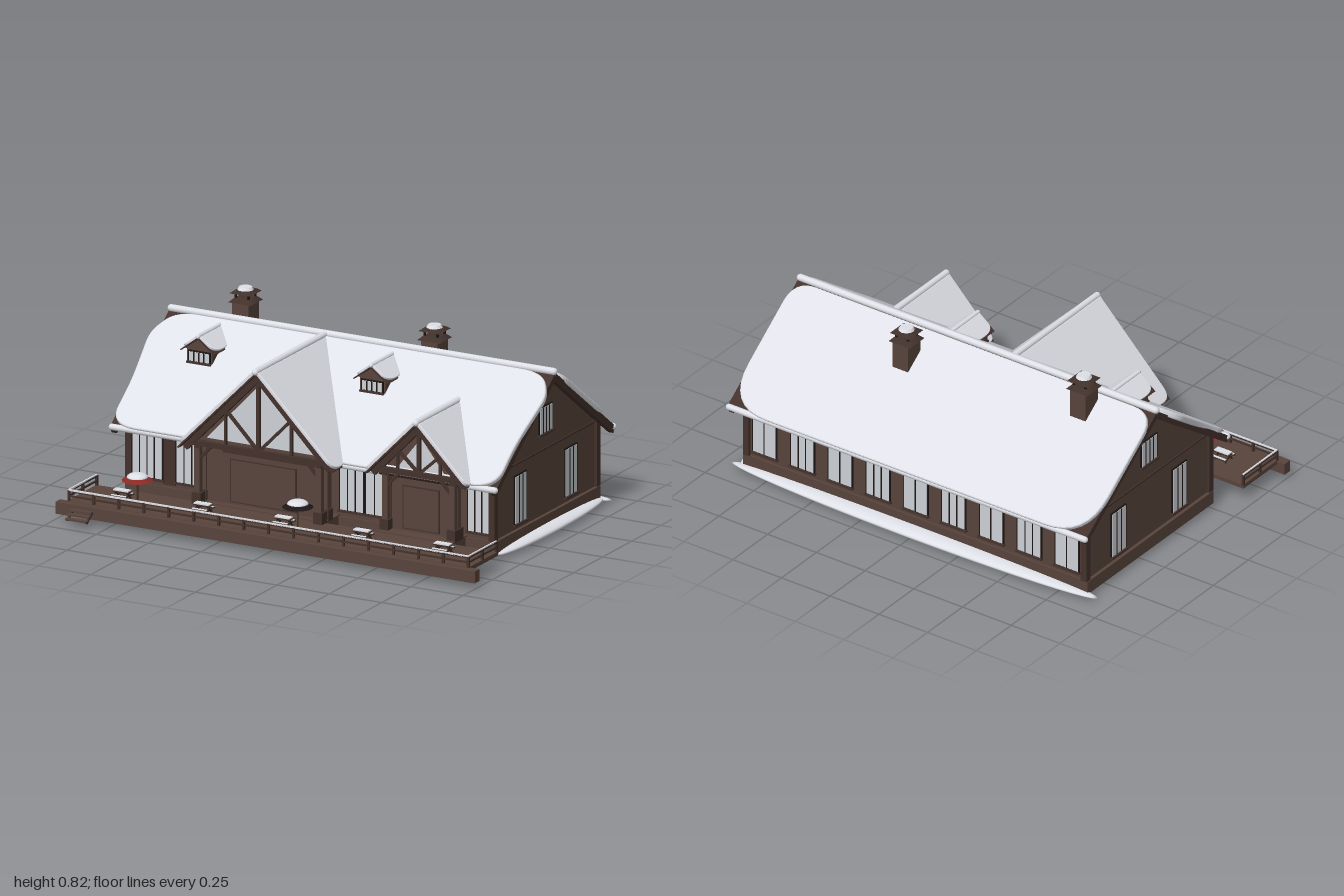
import * as THREE from 'three';

const mat = (name, color) => {
  const m = new THREE.MeshStandardMaterial({ color });
  m.name = name;
  return m;
};

export function createModel() {
  const wood = mat('brown timber', 0x58443c);
  const trim = mat('dark timber', 0x43322c);
  const dark = mat('dark frame', 0x1e1715);
  const snow = mat('snow', 0xe3e5ec);
  const glass = mat('pale glass', 0xcdd1d6);
  const red = mat('red canopy', 0x8c2a25);
  const root = new THREE.Group();
  root.name = 'chalet';

  const add = (name, geo, m, x = 0, y = 0, z = 0, parent = root) => {
    const mesh = new THREE.Mesh(geo, m);
    mesh.name = name;
    mesh.position.set(x, y, z);
    parent.add(mesh);
    return mesh;
  };
  const group = (name, x, y, z, ry = 0) => {
    const g = new THREE.Group();
    g.name = name;
    g.position.set(x, y, z);
    g.rotation.y = ry;
    root.add(g);
    return g;
  };
  const box = (name, w, h, d, m, x, y, z, parent) => add(name, new THREE.BoxGeometry(w, h, d), m, x, y, z, parent);
  // box given by its limits
  const span = (name, x0, x1, y0, y1, z0, z1, m, parent) =>
    box(name, x1 - x0, y1 - y0, z1 - z0, m, (x0 + x1) / 2, (y0 + y1) / 2, (z0 + z1) / 2, parent);
  const align = (mesh, a, b) => {
    mesh.position.copy(a).add(b).multiplyScalar(0.5);
    mesh.quaternion.setFromUnitVectors(new THREE.Vector3(0, 1, 0), b.clone().sub(a).normalize());
  };
  const V = (x, y, z) => new THREE.Vector3(x, y, z);
  const bar = (name, a, b, t, m, parent) =>
    align(add(name, new THREE.BoxGeometry(t, a.distanceTo(b), t), m, 0, 0, 0, parent), a, b);
  const roll = (name, a, b, r, m = snow) =>
    align(add(name, new THREE.CapsuleGeometry(r, a.distanceTo(b) - r, 4, 12), m), a, b);
  const poly = pts => new THREE.Shape(pts.map(p => new THREE.Vector2(p[0], p[1])));
  // polygon with corners rounded by the third value of each point
  const rounded = pts => {
    const s = new THREE.Shape();
    pts.forEach(([x, y, r = 0], i) => {
      const c = new THREE.Vector2(x, y);
      const toward = q => {
        const o = new THREE.Vector2(q[0], q[1]).sub(c);
        return c.clone().add(o.setLength(Math.min(r, o.length() * 0.45)));
      };
      const a = toward(pts[(i + pts.length - 1) % pts.length]), b = toward(pts[(i + 1) % pts.length]);
      if (i) s.lineTo(a.x, a.y); else s.moveTo(a.x, a.y);
      s.quadraticCurveTo(x, y, b.x, b.y);
    });
    s.closePath();
    return s;
  };
  // roof panel: shape x runs along the ridge, shape y is 0 at the ridge and negative downhill
  const slope = (name, shape, depth, bevel, m, pos, facing, pitch, lift = 0) => {
    const geo = new THREE.ExtrudeGeometry(shape, { depth, curveSegments: 8, bevelEnabled: bevel > 0,
      bevelSize: bevel, bevelThickness: bevel, bevelSegments: 3 });
    geo.translate(0, 0, lift);
    const mesh = add(name, geo, m, ...pos);
    mesh.rotation.set(pitch - Math.PI / 2, facing, 0, 'YXZ');
  };
  const windowUnit = (name, w, h, panes, x, y, z, ry = 0) => {
    const g = group(name, x, y, z, ry);
    box('frame', w + 0.012, h + 0.012, 0.006, dark, 0, 0, 0.002, g);
    box('glass', w, h, 0.006, glass, 0, 0, 0.004, g);
    for (let i = 1; i < panes; i++) box('mullion', 0.005, h, 0.008, dark, -w / 2 + w * i / panes, 0, 0.005, g);
    box('sill', w + 0.02, 0.008, 0.016, trim, 0, -h / 2 - 0.006, 0.005, g);
  };

  // main body, extruded between the gable ends
  const RZ = -0.19, RY = 0.685, run = 0.51, drop = 0.37;
  const pitch = Math.atan2(drop, run), len = Math.hypot(run, drop);
  const body = add('walls', new THREE.ExtrudeGeometry(
    poly([[-0.25, 0.02], [0.63, 0.02], [0.63, 0.36], [0.19, 0.68], [-0.25, 0.36]]),
    { depth: 1.74, bevelEnabled: false }), wood, -0.87, 0, 0);
  body.rotation.y = Math.PI / 2;
  span('plinth', -0.885, 0.885, 0.02, 0.08, -0.64, 0.26, wood);
  for (const sx of [-1, 1]) {
    for (const z of [-0.63, 0.25]) box('cornerPost', 0.03, 0.29, 0.03, trim, sx * 0.867, 0.225, z);
    box('gableBand', 0.008, 0.008, 0.88, trim, sx * 0.871, 0.365, -0.19);
    for (const z of [0.03, -0.405]) windowUnit('sideWindow', 0.095, 0.205, 3, sx * 0.871, 0.21, z, sx * Math.PI / 2);
    windowUnit('atticWindow', 0.105, 0.11, 4, sx * 0.871, 0.495, -0.187, sx * Math.PI / 2);
    for (const d of [-1, 1]) bar('bargeBoard', V(sx * 0.905, RY - 0.005, RZ),
      V(sx * 0.905, RY - drop - 0.005, RZ + d * run), 0.024, trim);
  }
  for (let i = 0; i < 9; i++) windowUnit('rearWindow', 0.115, 0.21, 2 + (i % 2), -0.775 + i * 0.194, 0.215, -0.631, Math.PI);
  for (const [x0, x1, n] of [[-0.85, -0.71, 4], [-0.64, -0.53, 3], [0.14, 0.25, 3], [0.265, 0.345, 2], [0.75, 0.85, 3]])
    windowUnit('frontWindow', x1 - x0, 0.21, n, (x0 + x1) / 2, 0.215, 0.251);
  box('frontDoor', 0.055, 0.22, 0.008, trim, -0.675, 0.2, 0.253);

  // main roof boards and snow cover
  const board = poly([[-0.92, -len], [0.92, -len], [0.92, 0], [-0.92, 0]]);
  for (const f of [0, Math.PI]) slope('roofBoards', board, 0.014, 0, trim, [0, RY, RZ], f, pitch);
  slope('frontSnow', rounded([[-0.915, -len + 0.01, 0.12], [0.915, -len + 0.01, 0.12], [0.905, -0.4, 0.1],
    [0.935, -0.12, 0.05], [0.87, -0.015, 0.1], [-0.87, -0.015, 0.1], [-0.94, -0.13, 0.05], [-0.91, -0.4, 0.1]]),
    0.012, 0.008, snow, [0, RY, RZ], 0, pitch, 0.014);
  slope('backSnow', rounded([[-0.915, -len + 0.01, 0.2], [0.915, -len + 0.01, 0.2], [0.915, -0.015, 0.1],
    [-0.915, -0.015, 0.1]]), 0.012, 0.008, snow, [0, RY, RZ], Math.PI, pitch, 0.014);
  roll('ridgeSnow', V(-0.92, RY + 0.022, RZ), V(0.92, RY + 0.022, RZ), 0.016);
  for (const [z, x0, x1] of [[-0.7, -0.92, 0.92], [0.32, -0.92, -0.53], [0.32, 0.18, 0.36], [0.32, 0.76, 0.92]])
    roll('eaveSnow', V(x0, 0.327, z), V(x1, 0.327, z), 0.014);

  // cross gable roof running back into the main roof
  const roofZ = y => RZ + (RY - y) * run / drop;
  const crossRoof = (name, x, half, top, low, zf, thick) => {
    const a = Math.atan2(top - low, half), L = Math.hypot(half, top - low);
    const zr = roofZ(top), ze = roofZ(low);
    for (const s of [-1, 1]) {
      const q = (e, r) => [[s * -(zf - e), 0.004 - e], [s * -(zf - e), -L + e, r], [s * -ze, -L + e, r], [s * -zr, 0.004 - e]];
      const f = s * Math.PI / 2;
      slope(name + 'Boards', poly(s > 0 ? q(0) : q(0).reverse()), thick * 0.5, 0, trim, [x, top, 0], f, a);
      const sn = q(0.008, Math.min(0.06, (zf - ze) * 0.5));
      slope(name + 'Snow', rounded(s > 0 ? sn : sn.reverse()), thick * 0.6, thick * 0.3, snow, [x, top, 0], f, a, thick * 0.6);
    }
    roll(name + 'RidgeSnow', V(x, top + thick, zr), V(x, top + thick, zf), thick);
  };

  // front porches: recessed wall, glazed triangle, posts and truss
  const porch = (name, x, half, top, low, zf, zw, gw, gTop) => {
    const k = (top - low) / half, inner = half - 0.075, zt = zf - 0.025;
    crossRoof(name + 'Roof', x, half, top, low, zf, 0.015);
    const g = group(name, x, 0, 0);
    span('porchBase', -inner - 0.02, inner + 0.02, 0.02, 0.085, 0.25, 0.375, wood, g);
    span('porchWall', -inner + 0.02, inner - 0.02, 0.08, 0.35, 0.24, zw, wood, g);
    add('gableWall', new THREE.ExtrudeGeometry(poly([[-half + 0.04, low + 0.015], [half - 0.04, low + 0.015],
      [0, top - 0.02]]), { depth: 0.03, bevelEnabled: false }), wood, 0, 0, zw - 0.03, g);
    add('gableGlass', new THREE.ExtrudeGeometry(poly([[-gw, 0.36], [gw, 0.36], [0, gTop]]),
      { depth: 0.006, bevelEnabled: false }), glass, 0, 0, zw, g);
    box('doorLeaf', inner * 1.1, 0.19, 0.006, trim, 0, 0.19, zw + 0.002, g);
    box('doorPanel', inner * 1.1 - 0.012, 0.18, 0.006, wood, 0, 0.19, zw + 0.004, g);
    span('tieBeam', -half + 0.05, half - 0.05, 0.335, 0.357, zt - 0.02, zt, trim, g);
    bar('kingPost', V(0, 0.345, zt - 0.01), V(0, top - 0.02, zt - 0.01), 0.016, trim, g);
    for (const s of [-1, 1]) {
      const xs = s * half * 0.43, ys = top - 0.02 - k * half * 0.43;
      bar('rafter', V(0, top - 0.018, zt - 0.01), V(s * (half - 0.02), low, zt - 0.01), 0.026, trim, g);
      bar('strut', V(0, 0.35, zt - 0.01), V(xs, ys, zt - 0.01), 0.012, trim, g);
      bar('studPost', V(xs, 0.345, zt - 0.01), V(xs, ys, zt - 0.01), 0.011, trim, g);
      for (const z of [zt - 0.015, zw - 0.015]) {
        box('porchPost', 0.026, 0.26, 0.026, wood, s * inner, 0.21, z, g);
        box('postFoot', 0.042, 0.05, 0.042, trim, s * inner, 0.105, z, g);
      }
      bar('knee', V(s * inner, 0.27, zt - 0.015), V(s * (inner - 0.06), 0.335, zt - 0.015), 0.012, trim, g);
      bar('plate', V(s * inner, 0.335, 0.25), V(s * inner, 0.335, zt), 0.022, trim, g);
    }
    return g;
  };
  const big = porch('largePorch', -0.175, 0.365, 0.69, 0.32, 0.425, 0.345, 0.27, 0.645);
  span('headerBoard', -0.19, 0.27, 0.31, 0.338, 0.345, 0.357, trim, big);
  porch('smallPorch', 0.56, 0.235, 0.565, 0.325, 0.37, 0.315, 0.11, 0.5);

  // dormers
  for (const x of [-0.655, 0.17]) {
    crossRoof('dormerRoof', x, 0.08, 0.675, 0.615, 0.05, 0.01);
    const g = group('dormer', x, 0, 0);
    span('dormerBody', -0.06, 0.06, 0.54, 0.63, -0.12, 0.03, wood, g);
    add('dormerGable', new THREE.ExtrudeGeometry(poly([[-0.07, 0.622], [0.07, 0.622], [0, 0.672]]),
      { depth: 0.15, bevelEnabled: false }), wood, 0, 0, -0.12, g);
    windowUnit('dormerWindow', 0.095, 0.04, 4, x, 0.592, 0.031);
  }

  // chimneys with hooded caps
  for (const [x, z, top] of [[-0.61, -0.283, 0.76], [0.26, -0.34, 0.712]]) {
    const g = group('chimney', x, top, z);
    span('stack', -0.04, 0.04, -0.28, 0, -0.045, 0.045, wood, g);
    const hood = (name, r0, r1, h, y, m) =>
      (add(name, new THREE.CylinderGeometry(r0 * Math.SQRT2, r1 * Math.SQRT2, h, 4), m, 0, y, 0, g).rotation.y = Math.PI / 4);
    hood('skirt', 0.034, 0.054, 0.018, 0.007, trim);
    for (const sx of [-1, 1]) for (const sz of [-1, 1]) box('capPost', 0.009, 0.03, 0.009, dark, sx * 0.03, 0.025, sz * 0.03, g);
    hood('cap', 0.034, 0.05, 0.012, 0.043, trim);
    add('capSnow', new THREE.CylinderGeometry(0.027, 0.036, 0.014, 16), snow, 0, 0.054, 0, g);
  }

  // terrace, steps and railing
  span('terrace', -0.96, 0.955, 0.062, 0.08, 0.37, 0.62, wood);
  span('frontBeam', -1, 1, 0.025, 0.077, 0.61, 0.65, wood);
  for (let i = 0; i < 3; i++) box('step', 0.1, 0.008, 0.024, wood, -0.87, 0.057 - i * 0.014, 0.66 + i * 0.019);
  for (const x of [-0.915, -0.825]) bar('stringer', V(x, 0.056, 0.65), V(x, 0.022, 0.7), 0.009, trim);
  const rail = (a, b, n) => {
    for (const y of [0.1, 0.121]) bar('rail', V(a[0], y, a[1]), V(b[0], y, b[1]), 0.007, trim);
    bar('railSnow', V(a[0], 0.126, a[1]), V(b[0], 0.126, b[1]), 0.007, snow);
    for (let i = 0; i <= n; i++)
      box('railPost', 0.01, 0.048, 0.01, trim, a[0] + (b[0] - a[0]) * i / n, 0.1, a[1] + (b[1] - a[1]) * i / n);
  };
  rail([-0.955, 0.615], [0.95, 0.615], 16);
  for (const x of [-0.955, 0.95]) rail([x, 0.375], [x, 0.615], 2);

  // picnic tables with snow on the planks
  for (const x of [-0.77, -0.385, 0, 0.375, 0.76]) {
    const g = group('picnicTable', x, 0.08, 0.49);
    box('top', 0.076, 0.005, 0.032, trim, 0, 0.034, 0, g);
    box('topSnow', 0.072, 0.006, 0.03, snow, 0, 0.039, 0, g);
    for (const s of [-1, 1]) {
      box('bench', 0.076, 0.005, 0.012, trim, 0, 0.018, s * 0.03, g);
      box('benchSnow', 0.07, 0.004, 0.009, snow, 0, 0.022, s * 0.03, g);
      for (const d of [-1, 1]) bar('leg', V(s * 0.028, 0, d * 0.026), V(s * 0.028, 0.034, -d * 0.012), 0.006, trim, g);
      box('crossbar', 0.006, 0.005, 0.066, trim, s * 0.028, 0.015, 0, g);
    }
  }
  // parasols
  for (const [x, m] of [[-0.695, red], [0.07, dark]]) {
    const g = group('parasol', x, 0, 0.495);
    add('pole', new THREE.CylinderGeometry(0.004, 0.004, 0.12, 8), trim, 0, 0.138, 0, g);
    add('canopy', new THREE.CylinderGeometry(0.006, 0.066, 0.026, 16), m, 0, 0.188, 0, g);
    add('canopySnow', new THREE.SphereGeometry(0.045, 20, 8, 0, Math.PI * 2, 0, Math.PI / 2).scale(1, 0.4, 1), snow, 0, 0.189, 0, g);
  }

  // snow banks along the back and one end
  add('backSnowBank', new THREE.SphereGeometry(1, 40, 16).scale(0.94, 0.022, 0.06), snow, 0, 0.022, -0.645);
  add('endSnowBank', new THREE.SphereGeometry(1, 32, 16).scale(0.05, 0.02, 0.45), snow, 0.89, 0.024, -0.2);
  return root;
}
